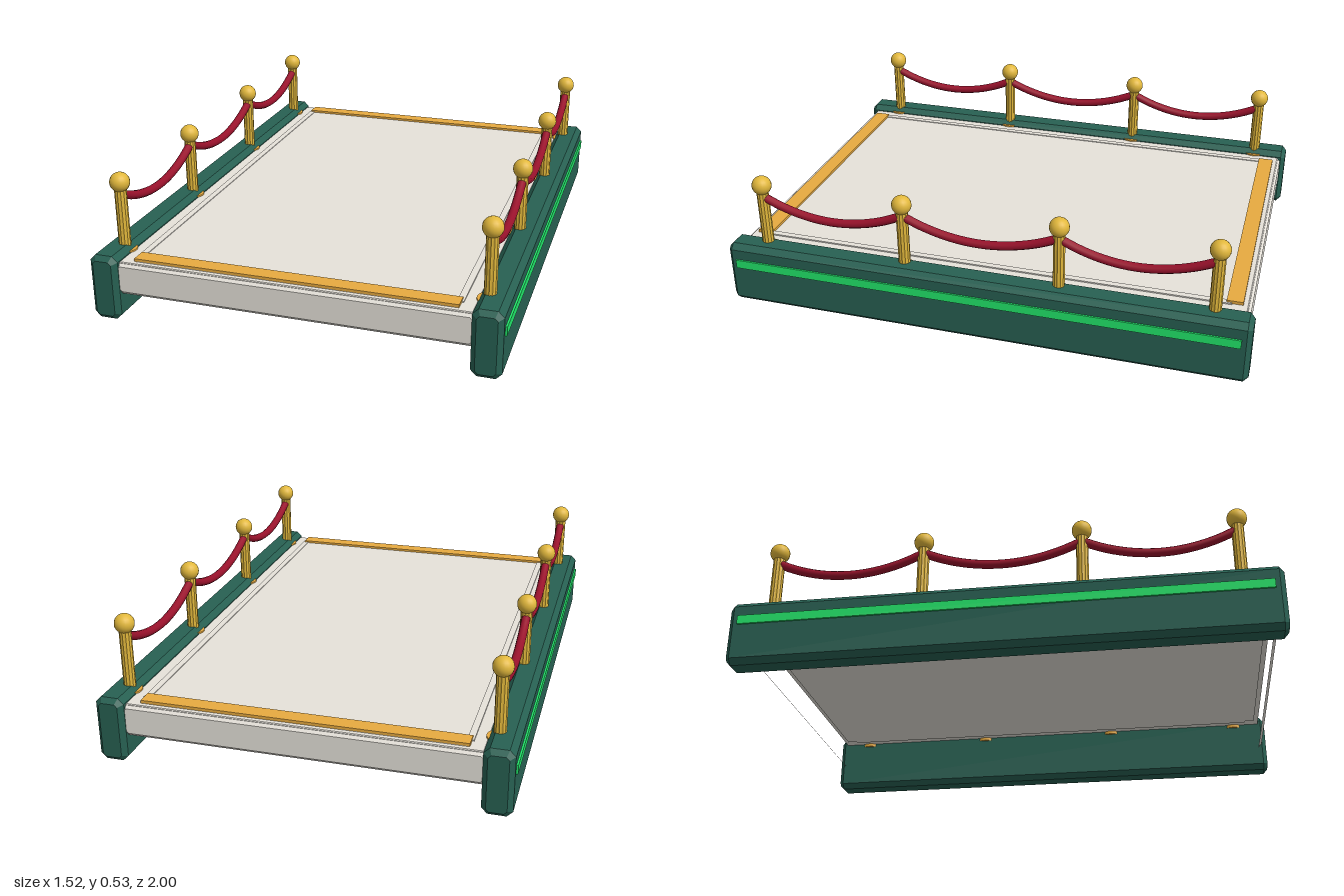
import * as THREE from 'three';

const paint = (name, color) => {
  const m = new THREE.MeshStandardMaterial({ color });
  m.name = name;
  return m;
};

// Box with flat chamfers of size c on every edge, centred on the origin
function chamferBox(w, h, d, c) {
  const x = w / 2 - c, y = h / 2 - c, k = c * 0.6;
  const corners = [[x - k, -y], [x, k - y], [x, y - k], [x - k, y], [k - x, y], [-x, y - k], [-x, k - y], [k - x, -y]];
  const shape = new THREE.Shape(corners.map(([a, b]) => new THREE.Vector2(a, b)));
  const geometry = new THREE.ExtrudeGeometry(shape, {
    depth: d - 2 * c, bevelEnabled: true, bevelSize: c, bevelThickness: c, bevelSegments: 1,
  });
  return geometry.translate(0, 0, c - d / 2);
}

// Remove the faces that look straight down
function openBottom(geometry) {
  const { position, normal } = geometry.attributes;
  const points = [], normals = [];
  for (let i = 0; i < position.count; i++) {
    if (normal.getY(i) < -0.95) continue;
    points.push(position.getX(i), position.getY(i), position.getZ(i));
    normals.push(normal.getX(i), normal.getY(i), normal.getZ(i));
  }
  const open = new THREE.BufferGeometry();
  open.setAttribute('position', new THREE.Float32BufferAttribute(points, 3));
  open.setAttribute('normal', new THREE.Float32BufferAttribute(normals, 3));
  return open;
}

// Upright column with shallow flutes
function flutedPost(radius, height, flutes) {
  const points = [];
  for (let i = 0; i < flutes * 2; i++) {
    const a = (i * Math.PI) / flutes, r = i % 2 ? radius * 0.92 : radius;
    points.push(new THREE.Vector2(r * Math.cos(a), r * Math.sin(a)));
  }
  const geometry = new THREE.ExtrudeGeometry(new THREE.Shape(points), { depth: height, bevelEnabled: false });
  return geometry.translate(0, 0, -height / 2).rotateX(-Math.PI / 2);
}

export function createModel() {
  const group = new THREE.Group();
  const green = paint('dark green', 0x276052);
  const bright = paint('bright green', 0x22ea6c);
  const brass = paint('brass', 0xe2b83c);
  const gold = paint('gold trim', 0xe8ab40);
  const red = paint('rope red', 0x9a122c);
  const stone = paint('pale stone', 0xe6e2da);

  const add = (name, geometry, material, x = 0, y = 0, z = 0) => {
    const mesh = new THREE.Mesh(geometry, material);
    mesh.name = name;
    mesh.position.set(x, y, z);
    group.add(mesh);
  };
  const box = (name, mat, w, h, d, x, y, z) =>
    add(name, new THREE.BoxGeometry(w, h, d), mat, x, y, z);

  // Deck body, hollow underneath, with the floor panel and its lining showing inside it
  add('deckBody', openBottom(chamferBox(1.32, 0.126, 1.96, 0.014)), stone, 0, 0.163, 0);
  box('floorPanel', stone, 1.17, 0.022, 1.9, 0, 0.217, 0);
  box('floorLining', stone, 1.3, 0.01, 1.94, 0, 0.218, 0);

  // Gold threshold strips at both ends
  for (const s of [-1, 1]) box('thresholdStrip', gold, 1.19, 0.02, 0.06, 0, 0.2275, s * 0.92);

  const postZ = [-0.86, -0.297, 0.297, 0.86];
  for (const s of [-1, 1]) {
    const x = s * 0.68;
    add('sideBeam', chamferBox(0.108, 0.25, 2, 0.018), green, s * 0.699, 0.125, 0);
    box('lightStrip', bright, 0.009, 0.034, 1.93, s * 0.7555, 0.172, 0);
    box('deckEdgeTrim', stone, 0.024, 0.024, 1.82, s * 0.59, 0.219, 0);

    // Rope posts, their bases sunk into the beam
    for (const z of postZ) {
      add('postBase', new THREE.CylinderGeometry(0.045, 0.045, 0.032, 24), gold, x, 0.216, z);
      add('post', flutedPost(0.0225, 0.24, 12), brass, x, 0.35, z);
      add('postBall', new THREE.SphereGeometry(0.037, 20, 14), brass, x, 0.489, z);
    }

    // Ropes sagging between neighbouring posts
    for (let i = 0; i < 3; i++) {
      const points = [];
      for (let k = 0; k <= 8; k++) {
        const t = k / 8;
        const y = 0.442 - 0.07 * 4 * t * (1 - t);
        points.push(new THREE.Vector3(x, y, THREE.MathUtils.lerp(postZ[i], postZ[i + 1], t)));
      }
      const path = new THREE.CatmullRomCurve3(points);
      add('rope', new THREE.TubeGeometry(path, 24, 0.0165, 10), red);
    }
  }
  return group;
}
